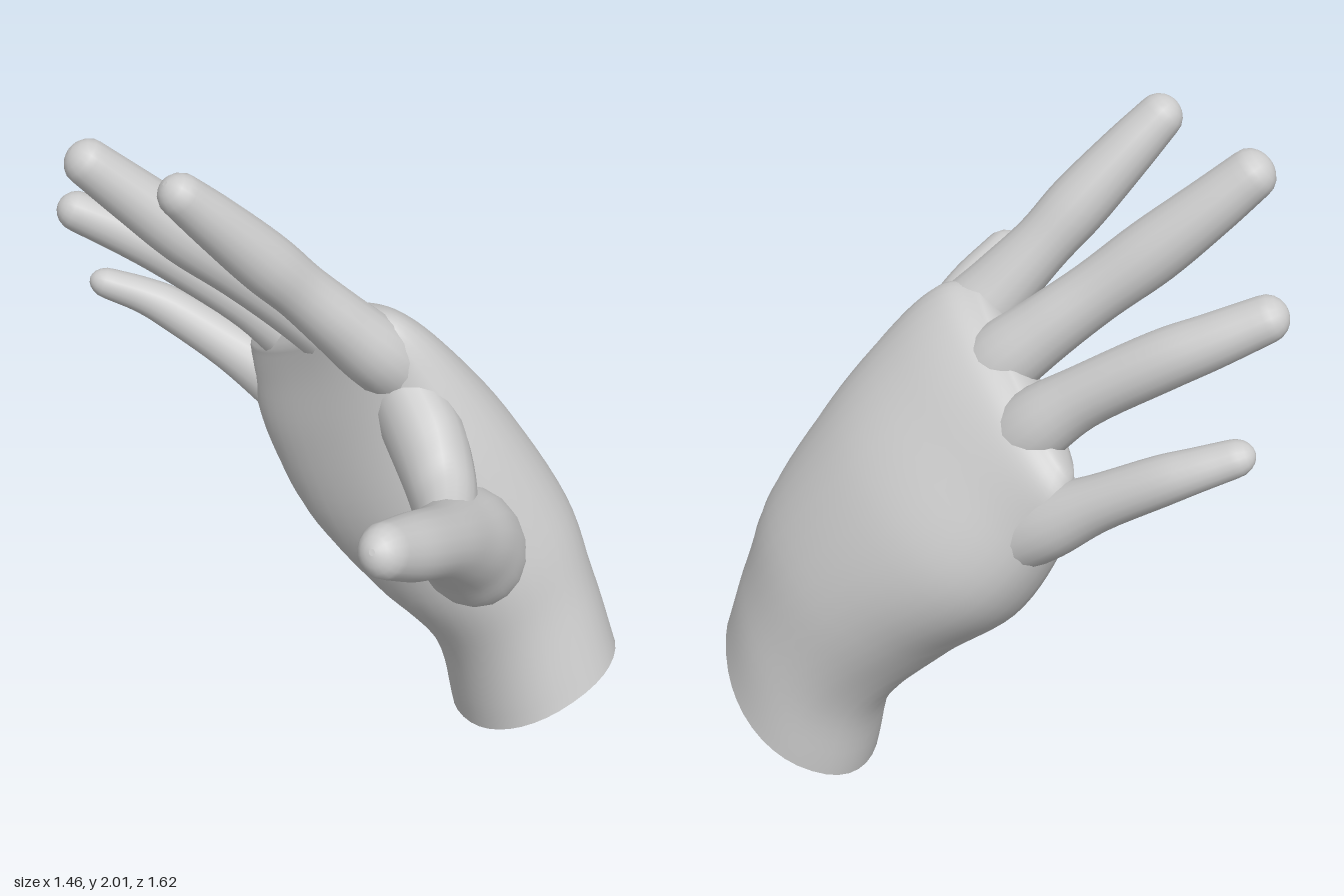
import * as THREE from 'three';

const V = (a) => new THREE.Vector3(...a);
const material = new THREE.MeshStandardMaterial({ color: 0xcccccc });

// Skin over a chain of sections { c, u, v }: centre and two half-axis vectors.
// power > 2 squares the outline; round adds a domed end, otherwise it is flat.
function loft(name, sections, { sides = 24, steps = 6, power = 2, round = 0 } = {}) {
  const spline = (key) => new THREE.CatmullRomCurve3(sections.map((s) => s[key]), false, 'catmullrom', 0.5);
  const [c, u, v] = ['c', 'u', 'v'].map(spline);
  const count = (sections.length - 1) * steps;
  const rings = [];
  for (let i = 0; i <= count; i++) {
    const t = i / count;
    rings.push({ c: c.getPoint(t), u: u.getPoint(t), v: v.getPoint(t) });
  }
  if (round) {
    const last = rings[count];
    const dir = last.c.clone().sub(rings[count - 1].c).normalize();
    for (const a of [0.35, 0.7, 1.0, 1.25, 1.45]) {
      rings.push({
        c: last.c.clone().addScaledVector(dir, Math.sin(a) * round),
        u: last.u.clone().multiplyScalar(Math.cos(a)),
        v: last.v.clone().multiplyScalar(Math.cos(a)),
      });
    }
  }
  const pos = [], index = [];
  const addRing = (r) => {
    for (let j = 0; j < sides; j++) {
      const a = (j / sides) * Math.PI * 2;
      const bend = (k) => Math.sign(k) * Math.abs(k) ** (2 / power);
      const p = r.c.clone().addScaledVector(r.u, bend(Math.cos(a))).addScaledVector(r.v, bend(Math.sin(a)));
      pos.push(p.x, p.y, p.z);
    }
  };
  rings.forEach(addRing);
  for (let i = 0; i < rings.length - 1; i++) {
    for (let j = 0; j < sides; j++) {
      const a = i * sides + j, b = i * sides + ((j + 1) % sides);
      index.push(a, b, b + sides, a, b + sides, a + sides);
    }
  }
  // separate cap vertices keep the cut edge crisp
  [rings[0], rings[rings.length - 1]].forEach((r, end) => {
    const start = pos.length / 3;
    addRing(r);
    pos.push(r.c.x, r.c.y, r.c.z);
    for (let j = 0; j < sides; j++) {
      const a = start + j, b = start + ((j + 1) % sides);
      index.push(start + sides, ...(end ? [a, b] : [b, a]));
    }
  });
  const geometry = new THREE.BufferGeometry();
  geometry.setAttribute('position', new THREE.Float32BufferAttribute(pos, 3));
  geometry.setIndex(index);
  geometry.computeVertexNormals();
  const mesh = new THREE.Mesh(geometry, material);
  mesh.name = name;
  return mesh;
}

// Limb along points [x, y, z, half width, half thickness]; hint is the width direction.
function digit(name, points, hint, round) {
  const centres = points.map((p) => V(p.slice(0, 3)));
  const sections = points.map((p, i) => {
    const t = centres[Math.min(i + 1, points.length - 1)].clone().sub(centres[Math.max(i - 1, 0)]).normalize();
    const u = V(hint).addScaledVector(t, -V(hint).dot(t)).normalize();
    const v = t.clone().cross(u);
    return { c: centres[i], u: u.multiplyScalar(p[3]), v: v.multiplyScalar(p[4]) };
  });
  return loft(name, sections, { sides: 18, steps: 5, round });
}

export function createModel() {
  const hand = new THREE.Group();
  hand.name = 'hand';

  // wrist, palm and knuckles in one skin, from the slanted cut upwards
  const palm = [
    [[0.51, 0.15, 0.1], [-0.02, 0.115, 0.315], [0.23, 0.12, 0]],
    [[0.455, 0.39, 0.05], [0, 0.12, 0.3], [0.225, 0.1, -0.02]],
    [[0.33, 0.62, -0.03], [0.09, 0.13, 0.33], [0.25, 0.1, -0.09]],
    [[0.17, 0.87, -0.14], [0.13, 0.18, 0.36], [0.21, 0.12, -0.12]],
    [[0.04, 1.1, -0.21], [0.13, 0.2, 0.345], [0.14, 0.1, -0.09]],
    [[-0.03, 1.24, -0.25], [0.1, 0.195, 0.325], [0.09, 0.07, -0.06]],
    [[-0.08, 1.3, -0.27], [0.07, 0.17, 0.28], [0.055, 0.045, -0.04]],
  ].map(([c, u, v]) => ({ c: V(c), u: V(u), v: V(v) }));
  hand.add(loft('wristAndPalm', palm, { sides: 40, power: 2.2, round: 0.03 }));

  // four fingers, rooted inside the palm
  const across = [0.25, 0.4, 0.88];
  const fingers = {
    indexFinger: [
      [0.14, 1.2, 0, 0.1, 0.08], [0.03, 1.34, 0.01, 0.115, 0.1], [-0.08, 1.46, 0, 0.1, 0.09],
      [-0.19, 1.58, -0.01, 0.085, 0.082], [-0.29, 1.69, -0.01, 0.088, 0.085],
      [-0.42, 1.83, -0.01, 0.077, 0.073], [-0.51, 1.925, -0.01, 0.066, 0.06],
    ],
    middleFinger: [
      [0.07, 1.18, -0.16, 0.1, 0.08], [-0.03, 1.32, -0.2, 0.11, 0.1], [-0.15, 1.43, -0.235, 0.095, 0.092],
      [-0.28, 1.54, -0.265, 0.088, 0.085], [-0.42, 1.66, -0.3, 0.092, 0.088],
      [-0.56, 1.79, -0.34, 0.082, 0.076], [-0.66, 1.885, -0.365, 0.072, 0.066],
    ],
    ringFinger: [
      [0.03, 1.08, -0.32, 0.1, 0.08], [-0.08, 1.22, -0.4, 0.105, 0.095], [-0.2, 1.33, -0.46, 0.085, 0.085],
      [-0.38, 1.46, -0.55, 0.082, 0.08], [-0.5, 1.53, -0.6, 0.075, 0.07], [-0.63, 1.6, -0.64, 0.065, 0.058],
    ],
    littleFinger: [
      [0, 0.9, -0.44, 0.1, 0.1], [-0.1, 1, -0.53, 0.1, 0.09], [-0.21, 1.09, -0.61, 0.077, 0.075],
      [-0.35, 1.19, -0.7, 0.068, 0.064], [-0.43, 1.235, -0.74, 0.06, 0.054], [-0.52, 1.275, -0.77, 0.052, 0.046],
    ],
  };
  for (const [name, points] of Object.entries(fingers)) hand.add(digit(name, points, across, 0.06));

  // thumb with its fleshy base
  hand.add(digit('thumb', [
    [0.36, 0.58, 0.1, 0.1, 0.1], [0.26, 0.73, 0.2, 0.16, 0.15], [0.17, 0.87, 0.3, 0.155, 0.15],
    [0.08, 0.97, 0.42, 0.125, 0.12], [-0.01, 1.06, 0.53, 0.1, 0.1],
    [-0.13, 1.15, 0.64, 0.092, 0.09], [-0.24, 1.225, 0.725, 0.075, 0.07],
  ], [0.3, 0.7, -0.6], 0.075));

  // skin fold between thumb and index finger
  hand.add(digit('thumbWeb', [
    [0.03, 1.03, 0.49, 0.07, 0.07], [0.085, 1.01, 0.37, 0.105, 0.085],
    [0.12, 1.035, 0.25, 0.125, 0.1], [0.12, 1.12, 0.14, 0.14, 0.11], [0.1, 1.2, 0.02, 0.14, 0.1],
  ], [-0.1, 1, 0.2], 0.03));

  return hand;
}
